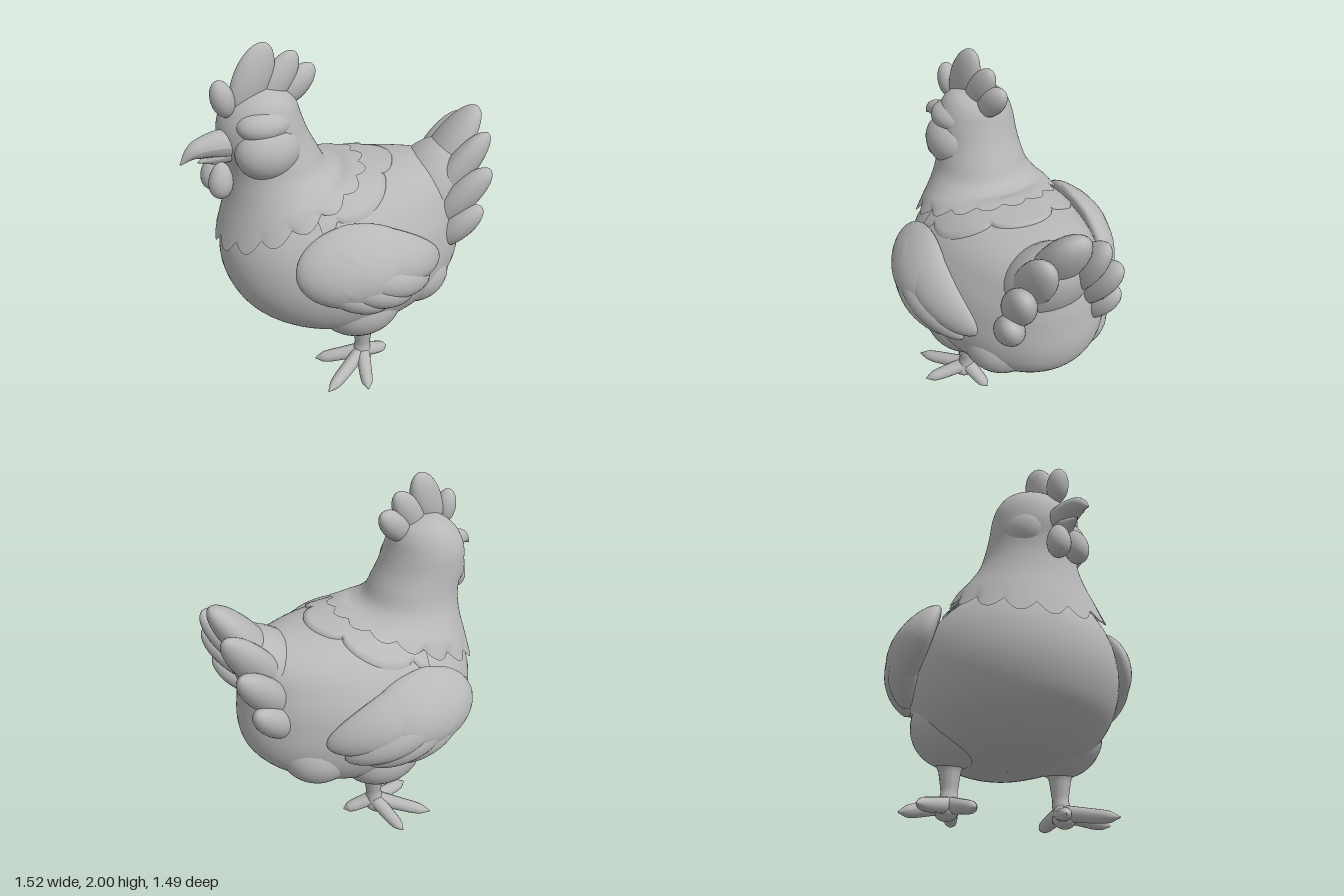
import * as THREE from 'three';
import { mergeVertices } from 'three/addons/utils/BufferGeometryUtils.js';

const plumage = new THREE.MeshStandardMaterial({ color: 0xb8b8b8, side: THREE.DoubleSide });
plumage.name = 'light grey';
const V = (x, y, z) => new THREE.Vector3(x, y, z);

function add(parent, name, geometry) {
  const mesh = new THREE.Mesh(geometry, plumage);
  mesh.name = name;
  parent.add(mesh);
  return mesh;
}

function group(parent, name) {
  const g = new THREE.Group();
  g.name = name;
  parent.add(g);
  return g;
}

// Smooth surface from a grid of points
function skin(rows, cols, point) {
  const pos = [], idx = [];
  for (let r = 0; r <= rows; r++)
    for (let c = 0; c <= cols; c++) pos.push(...point(r, c).toArray());
  for (let r = 0; r < rows; r++)
    for (let c = 0; c < cols; c++) {
      const a = r * (cols + 1) + c, d = a + cols + 1;
      idx.push(a, a + 1, d, a + 1, d + 1, d);
    }
  let g = new THREE.BufferGeometry();
  g.setAttribute('position', new THREE.Float32BufferAttribute(pos, 3));
  g.setIndex(idx);
  g = mergeVertices(g, 1e-4);
  g.computeVertexNormals();
  return g;
}

// Loft through rings of [y, front z, back z, half width, forward drop]
function loft(levels, rows, cols, centreX = 0, egg = 0, adjust = () => {}) {
  const curves = [];
  for (let c = 0; c <= cols; c++) {
    const a = ((c % cols) / cols) * Math.PI * 2, s = Math.sin(a), k = Math.cos(a);
    const pts = levels.map(([y, zf, zb, w, drop = 0], i) => {
      const p = V(centreX + w * s * (1 + egg * k), y - drop * k, (zf + zb) / 2 + ((zf - zb) / 2) * k);
      adjust(p, a, i);
      return p;
    });
    curves.push(new THREE.CatmullRomCurve3(pts, false, 'centripetal').getPoints(rows));
  }
  return skin(rows, cols, (r, c) => curves[c][r]);
}

// Ellipsoid stretched from a to b; width across, thickness along the hint normal
function blob(a, b, width, thick, normal, point = 0) {
  const g = new THREE.SphereGeometry(1, 28, 20), p = g.attributes.position;
  for (let i = 0; i < p.count; i++) {
    const f = 1 - point * p.getY(i);
    p.setXYZ(i, p.getX(i) * f, p.getY(i), p.getZ(i) * f);
  }
  const y = b.clone().sub(a), len = y.length();
  y.normalize();
  const x = y.clone().cross(normal).normalize(), z = x.clone().cross(y);
  g.scale(width, len / 2, thick);
  g.applyMatrix4(new THREE.Matrix4().makeBasis(x, y, z).setPosition(a.clone().add(b).multiplyScalar(0.5)));
  g.computeVertexNormals();
  return g;
}
const ball = (x, y, z, rx, ry, rz) => new THREE.SphereGeometry(1, 32, 24).scale(rx, ry, rz).translate(x, y, z);

// Tube whose radius follows a list of values
function horn(points, radii) {
  const n = 20, sides = 16, curve = new THREE.CatmullRomCurve3(points);
  const g = new THREE.TubeGeometry(curve, n, 1, sides, false), p = g.attributes.position;
  for (let i = 0; i <= n; i++) {
    const c = curve.getPointAt(i / n), u = (i / n) * (radii.length - 1);
    const k = Math.min(Math.floor(u), radii.length - 2), rad = THREE.MathUtils.lerp(radii[k], radii[k + 1], u - k);
    for (let j = 0; j <= sides; j++) {
      const q = i * (sides + 1) + j;
      const v = V().fromBufferAttribute(p, q).sub(c).multiplyScalar(rad).add(c);
      p.setXYZ(q, v.x, v.y, v.z);
    }
  }
  g.computeVertexNormals();
  return g;
}

function makeWing(parent, side) {
  const wing = group(parent, side > 0 ? 'leftWing' : 'rightWing');
  wing.position.set(side > 0 ? 0 : -0.02, 0, side > 0 ? 0.04 : 0.085);
  const out = V(1, 0, 0);
  const parts = [
    ['wingShoulder', ball(0, 0.9, 0.07, 0.1, 0.22, 0.335)],
    ['wingFeather', blob(V(0, 1.08, 0.2), V(0, 0.76, -0.46), 0.14, 0.08, out)],
    ['wingFeather', blob(V(0.01, 0.99, 0.22), V(0.01, 0.68, -0.38), 0.115, 0.085, out)],
    ['wingFeather', blob(V(0.015, 0.91, 0.24), V(0.01, 0.635, -0.26), 0.1, 0.08, out)],
    ['wingFeather', blob(V(0.015, 0.86, 0.28), V(0, 0.62, -0.1), 0.09, 0.075, out)],
    ['wingCovert', blob(V(0.045, 1.03, 0.22), V(0.04, 0.86, -0.12), 0.1, 0.052, out)],
    ['wingCovert', blob(V(0.045, 0.93, 0.28), V(0.045, 0.78, 0.0), 0.09, 0.05, out)],
  ];
  for (const [name, g] of parts) {
    // Wrap the wing around the flank and over the back
    const p = g.attributes.position;
    for (let i = 0; i < p.count; i++) {
      const z = p.getZ(i) - 0.03, y = p.getY(i) - 0.85;
      p.setX(i, p.getX(i) + 0.595 - (z > 0 ? 0.4 : 0.75) * z * z - 0.16 * y - 1.2 * y * y);
    }
    if (side < 0) {
      g.scale(-1, 1, 1);
      const ix = g.index.array;
      for (let i = 0; i < ix.length; i += 3) [ix[i], ix[i + 1]] = [ix[i + 1], ix[i]];
    }
    g.computeVertexNormals();
    add(wing, name, g);
  }
}

function makeLeg(parent, s) {
  const leg = group(parent, s > 0 ? 'leftLeg' : 'rightLeg');
  const x = s * 0.315, P = (dx, y, dz) => V(x + s * dx, y, dz);
  add(leg, 'thigh', ball(s * 0.31, 0.515, 0.03, 0.235, 0.225, 0.265));
  add(leg, 'shank', horn([P(0, 0.4, 0), P(0, 0.27, 0), P(0, 0.16, 0), P(0.01, 0.05, 0.01)], [0.13, 0.062, 0.045, 0.06]));
  add(leg, 'ankle', ball(x + s * 0.015, 0.065, 0.015, 0.065, 0.055, 0.065));
  for (const [dx, dz] of [[-0.08, 0.28], [0.22, 0.28], [0.27, 0.05], [-0.06, -0.18]])
    add(leg, 'toe', horn([P(0, 0.1, 0), P(dx * 0.35, 0.075, dz * 0.35), P(dx * 0.75, 0.048, dz * 0.75), P(dx, 0.035, dz)],
      [0.045, 0.044, 0.042, 0.04, 0.038, 0.032, 0.003]));
}

export function createModel() {
  const model = new THREE.Group();
  model.name = 'hen';
  const hen = group(model, 'henBody');

  // Plump body
  const body = add(hen, 'body', loft([
    [0.3, 0.02, 0, 0.001], [0.31, 0.26, -0.24, 0.2], [0.36, 0.46, -0.42, 0.36], [0.42, 0.57, -0.53, 0.45],
    [0.5, 0.67, -0.62, 0.51], [0.6, 0.73, -0.68, 0.55], [0.72, 0.765, -0.7, 0.565], [0.85, 0.765, -0.69, 0.55],
    [0.95, 0.74, -0.68, 0.52], [1.05, 0.69, -0.66, 0.465], [1.14, 0.6, -0.64, 0.39], [1.21, 0.48, -0.58, 0.29],
    [1.25, 0.36, -0.48, 0.17], [1.265, 0.0, -0.02, 0.001]], 48, 64, -0.025, 0.1));
  body.updateMatrixWorld(true);
  const ray = new THREE.Raycaster(), down = V(0, -1, 0), heart = V(-0.025, 0.7, 0.1);

  // Scalloped feather mantle lying on the back
  const rings = 14, span = 120;
  add(hen, 'mantle', skin(rings + 1, span, (r, c) => {
    const a = (c / span - 0.5) * 2.75;
    const lobe = Math.sqrt(Math.abs(Math.cos(a * 4)));
    const R = 0.55 - 0.05 * a * a + 0.08 * lobe;
    const d = 0.2 + (R - 0.2) * Math.min(r / rings, 1);
    const x = -0.025 + Math.sin(a) * d * 0.88, z = 0.37 - Math.cos(a) * d;
    ray.set(V(x, 3, z), down);
    const hit = ray.intersectObject(body)[0];
    return V(x, (hit ? hit.point.y : 1.265) + (r > rings ? -0.02 : 0.016), z);
  }));

  // Head and neck flowing into a scalloped collar that rests on the body
  add(hen, 'headAndCollar', loft([
    [1.12, 0.77, -0.08, 0.42, 0.21], [1.17, 0.74, 0.0, 0.38, 0.12], [1.23, 0.705, 0.06, 0.33, 0.05],
    [1.31, 0.69, 0.13, 0.28], [1.4, 0.7, 0.18, 0.255], [1.5, 0.725, 0.23, 0.24], [1.6, 0.715, 0.265, 0.228],
    [1.68, 0.675, 0.29, 0.2], [1.735, 0.62, 0.33, 0.16], [1.77, 0.55, 0.41, 0.09], [1.78, 0.5, 0.49, 0.001]],
  40, 160, -0.03, 0, (p, a, i) => {
    if (i > 1) return;
    if (i === 0) {
      const k = Math.abs(Math.cos(a * 8)) - 0.5;
      p.y -= 0.06 * k * (0.6 + 0.4 * Math.cos(a));
      p.x += 0.04 * k * Math.sin(a);
      p.z += 0.04 * k * Math.cos(a);
    }
    const dir = p.clone().sub(heart), far = dir.length();
    dir.normalize();
    ray.set(heart.clone().addScaledVector(dir, 3), dir.clone().negate());
    const hit = ray.intersectObject(body)[0];
    if (!hit) return;
    const rest = hit.point.distanceTo(heart) + 0.028;
    p.copy(heart).addScaledVector(dir, i ? Math.max(far, rest) : rest);
  }));

  // Face, turned slightly to the left
  const face = group(hen, 'face');
  face.position.set(-0.03, 0, 0.35);
  face.rotation.y = 0.24;
  const sideways = V(1, 0, 0);
  add(face, 'upperBeak', horn([V(0, 1.5, 0.3), V(0, 1.515, 0.43), V(0, 1.5, 0.53), V(0, 1.445, 0.605)], [0.08, 0.07, 0.048, 0.003]));
  add(face, 'lowerBeak', horn([V(0, 1.46, 0.32), V(0, 1.445, 0.42), V(0, 1.435, 0.51)], [0.06, 0.045, 0.004]));
  for (const s of [-1, 1]) {
    add(face, 'wattle', blob(V(s * 0.05, 1.43, 0.4), V(s * 0.062, 1.23, 0.43), 0.065, 0.062, sideways, -0.15));
    add(face, 'cheek', ball(s * 0.12, 1.465, 0.165, 0.14, 0.155, 0.18));
    add(face, 'closedEye', ball(s * 0.125, 1.56, 0.225, 0.065, 0.055, 0.07));
    add(face, 'brow', ball(s * 0.1, 1.61, 0.17, 0.115, 0.09, 0.15));
  }
  const lobes = [
    [1.65, 0.325, 1.85, 0.365, 0.062], [1.64, 0.27, 2.0, 0.085, 0.105],
    [1.64, 0.15, 1.93, -0.075, 0.085], [1.66, 0.04, 1.84, -0.18, 0.075]];
  for (const [y0, z0, y1, z1, w] of lobes)
    add(face, 'combLobe', blob(V(0, y0, z0), V(0, y1, z1), w, 0.06, sideways));

  // Wings and legs in pairs
  const pairs = group(hen, 'limbs');
  pairs.position.x = -0.03;
  for (const s of [1, -1]) {
    makeWing(pairs, s);
    makeLeg(pairs, s);
    add(pairs, 'rumpPad', ball(s * 0.22, 0.6, -0.33, 0.23, 0.21, 0.23));
  }

  // Raised rump and fan of tail feathers
  const tail = group(hen, 'tail');
  add(tail, 'tailBase', blob(V(0, 0.7, -0.2), V(0, 1.31, -0.67), 0.26, 0.2, V(0, 0.6, -0.8)));
  add(tail, 'tailFeather', blob(V(0, 1.0, -0.42), V(0, 1.51, -0.79), 0.145, 0.1, V(0, 0.6, -0.8)));
  for (const s of [-1, 1]) {
    add(tail, 'tailFeather', blob(V(s * 0.12, 0.95, -0.45), V(s * 0.165, 1.41, -0.785), 0.11, 0.085, V(s * 0.5, 0.5, -0.7)));
    add(tail, 'tailFeather', blob(V(s * 0.18, 0.86, -0.46), V(s * 0.275, 1.235, -0.76), 0.1, 0.085, V(s * 0.7, 0.4, -0.6)));
    add(tail, 'tailFeather', blob(V(s * 0.22, 0.75, -0.47), V(s * 0.32, 1.02, -0.705), 0.09, 0.08, V(s * 0.8, 0.2, -0.6)));
  }

  // The bird stands diagonally
  hen.rotation.y = -Math.PI / 4;
  return model;
}
